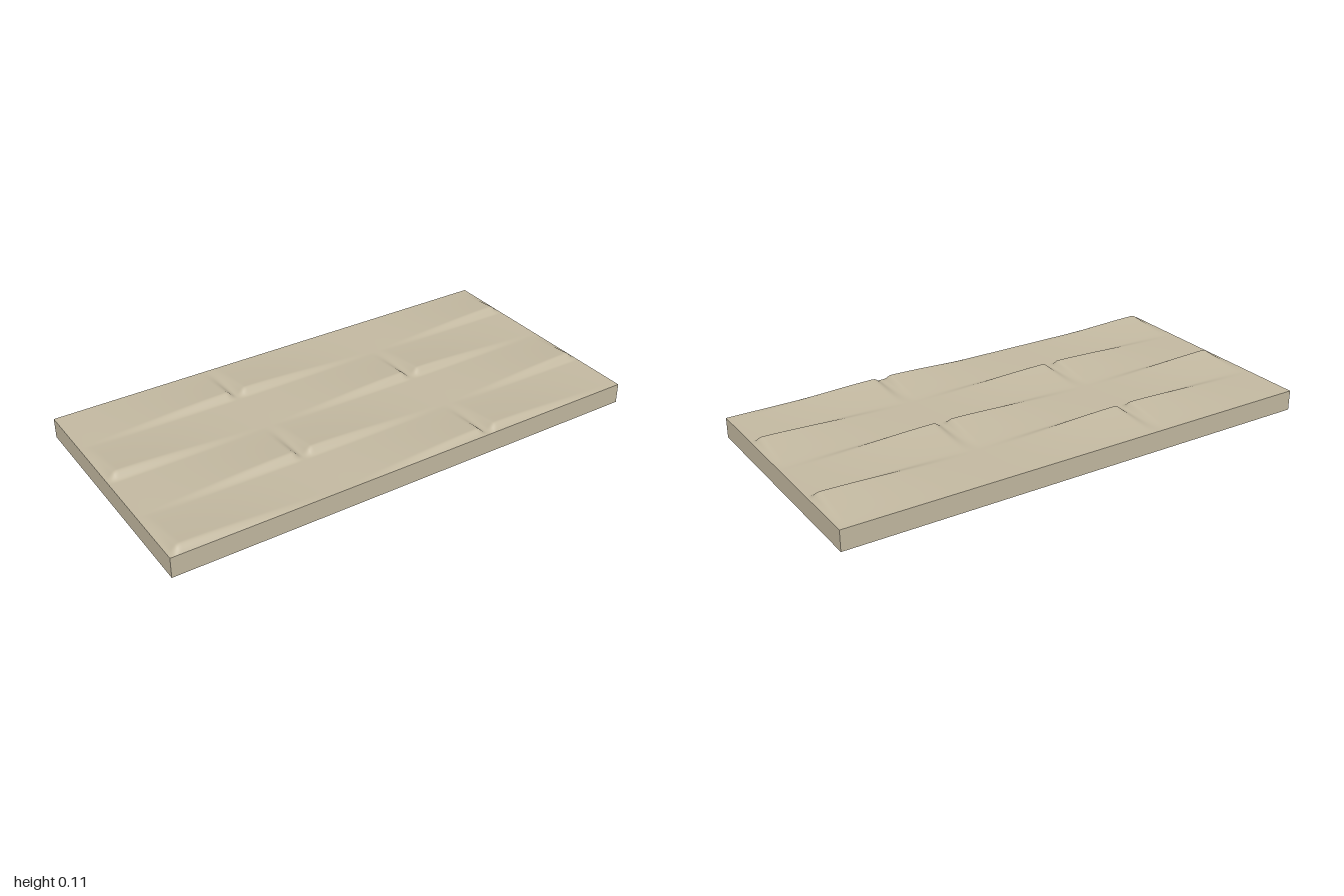
import * as THREE from 'three';

const W = 2, D = 1, BASE = 0.083, RISE = 0.024;
const PERIOD = 4 / 3;                        // spacing of the joints along a row
const ROWS = [0.487, 0.24, -0.008, -0.257];  // z of each overlapping edge
const smooth = THREE.MathUtils.smoothstep;

// Height profile across a row: steep front lip, long slope towards the back
function lip(t) {                            // t = distance behind the lip centre
  return smooth(t, -0.022, 0.016) * Math.pow(THREE.MathUtils.clamp(1 - (t - 0.018) / 0.225, 0, 1), 1.2);
}

// Height along a row: highest beside each joint, flat midway, with a narrow notch at the joint
function swell(x, joint) {
  const d = x - joint - PERIOD * Math.round((x - joint) / PERIOD);
  const notch = d < 0 ? smooth(-d, 0, 0.035) : smooth(d, 0.003, 0.045);
  return Math.cos(Math.PI * d / PERIOD) ** 2 * notch;
}

function relief(x, z) {
  if (Math.abs(x) > W / 2 - 1e-4 || Math.abs(z) > D / 2 - 1e-4) return BASE;
  let h = 0;
  ROWS.forEach((row, i) => {
    h += lip(row - z) * swell(x, i % 2 ? -1 / 3 : 1 / 3);
  });
  return BASE + RISE * h;
}

export function createModel() {
  const group = new THREE.Group();
  group.name = 'wavyTile';
  const stone = new THREE.MeshStandardMaterial({ color: 0xc2b8a0 });
  stone.name = 'beige stone';

  // Slab sides and bottom; the box's own top face is left out
  const box = new THREE.BoxGeometry(W, BASE, D).translate(0, BASE / 2, 0);
  const index = Array.from(box.index.array);
  index.splice(12, 6);
  box.setIndex(index);
  box.clearGroups();
  const slab = new THREE.Mesh(box, stone);
  slab.name = 'slab';

  // Sculpted top surface
  const top = new THREE.PlaneGeometry(W, D, 220, 180).rotateX(-Math.PI / 2);
  const p = top.attributes.position;
  for (let i = 0; i < p.count; i++) p.setY(i, relief(p.getX(i), p.getZ(i)));
  top.computeVertexNormals();
  const surface = new THREE.Mesh(top, stone);
  surface.name = 'reliefTop';

  group.add(slab, surface);
  return group;
}
